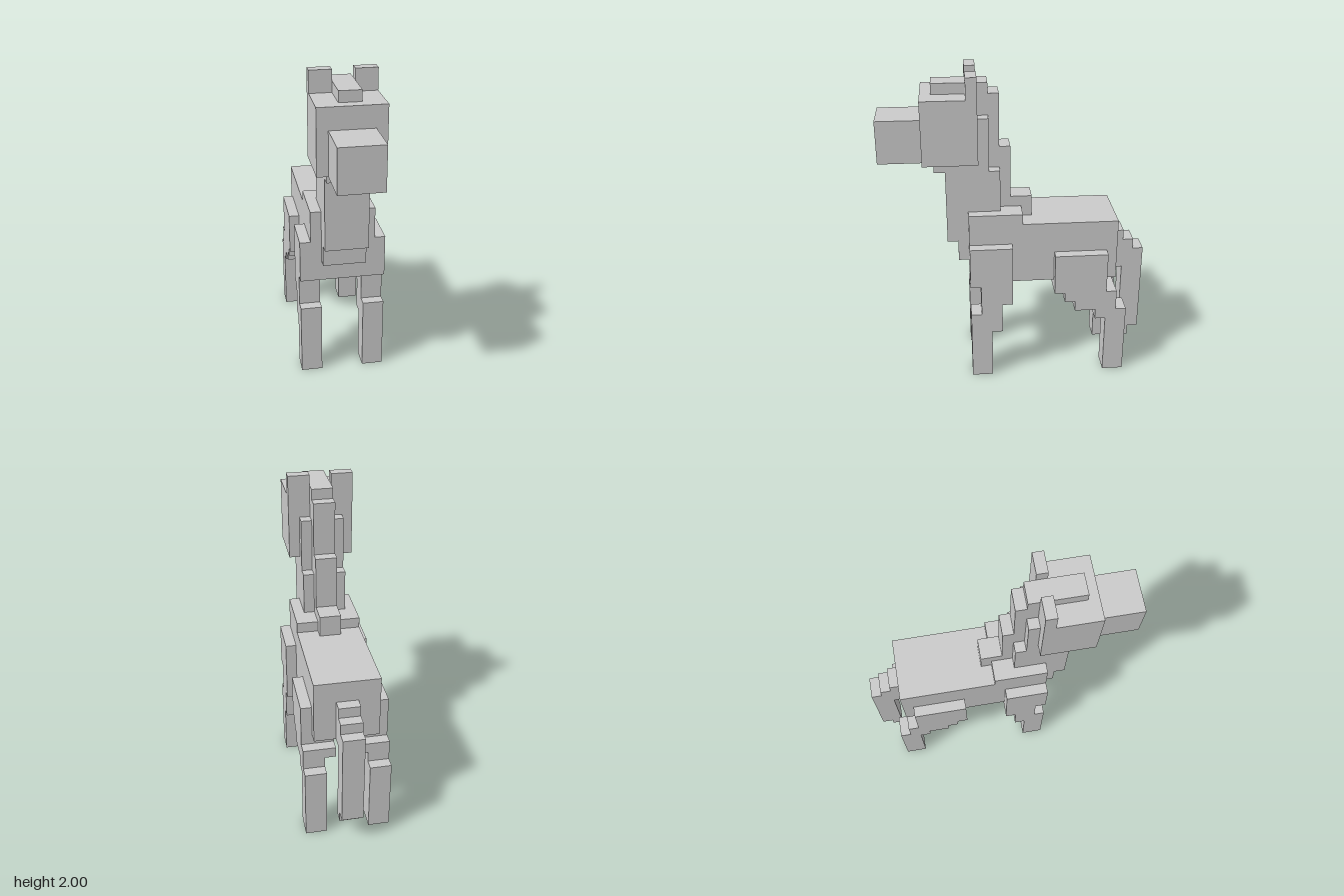
import * as THREE from 'three';

const U = 1 / 15; // one voxel

export function createModel() {
  const model = new THREE.Group();
  const grey = new THREE.MeshStandardMaterial({ color: 0xcccccc, flatShading: true });

  // Box between voxel bounds [x0, x1], [y0, y1], [z0, z1]
  function box(parent, name, [x0, x1], [y0, y1], [z0, z1]) {
    const geometry = new THREE.BoxGeometry((x1 - x0) * U, (y1 - y0) * U, (z1 - z0) * U);
    const mesh = new THREE.Mesh(geometry, grey);
    mesh.name = name;
    mesh.position.set((x0 + x1) / 2 * U, (y0 + y1) / 2 * U, (z0 + z1) / 2 * U);
    parent.add(mesh);
  }

  // Group of boxes sharing one x range; each row is [y0, y1, z0, z1]
  function stack(name, x, rows) {
    const group = new THREE.Group();
    group.name = name;
    rows.forEach(([y0, y1, z0, z1], i) => box(group, `${name}Block${i + 1}`, x, [y0, y1], [z0, z1]));
    model.add(group);
  }

  // Trunk and head
  box(model, 'body', [-3, 3], [10, 16], [-9.5, 4.5]);
  box(model, 'shoulders', [-3, 3], [16, 17], [-0.5, 4.5]);
  box(model, 'head', [-3, 3], [22, 28], [3.5, 8.5]);
  box(model, 'snout', [-2, 2], [22, 26], [8.5, 12.5]);

  // Neck and chest, leaning forward in steps
  stack('neck', [-2, 2], [
    [12, 14, 4.5, 5.5],
    [14, 21, 1.5, 6.5],
    [21, 22, 2.5, 7.5],
    [22, 26, 2.5, 3.5],
  ]);

  // Forelock and mane down the back of the neck
  stack('mane', [-1, 1], [
    [28, 29, 2.5, 7.5],
    [23, 28, 1.5, 3.5],
    [18, 23, 0.5, 2.5],
    [16, 18, -1.5, 1.5],
  ]);

  // Tail
  stack('tail', [-1, 1], [
    [10, 14, -10.5, -9.5],
    [2, 13, -11.5, -10.5],
    [3, 12, -12.5, -11.5],
  ]);

  // Ears and legs, mirrored
  for (const [side, s] of [['left', 1], ['right', -1]]) {
    const span = (a, b) => (s > 0 ? [a, b] : [-b, -a]);
    box(model, `${side}Ear`, span(1, 3), [28, 30], [3.5, 4.5]);
    stack(`${side}FrontLeg`, span(2, 4), [
      [10, 14, 0.5, 4.5],
      [8, 10, 0.5, 3.5],
      [7, 8, 1.5, 3.5],
      [5, 7, 1.5, 2.5],
      [0, 7, 2.5, 4.5],
    ]);
    stack(`${side}HindLeg`, span(2, 4), [
      [9, 13, -8.5, -3.5],
      [8, 9, -9.5, -4.5],
      [7, 8, -9.5, -5.5],
      [6, 7, -10.5, -7.5],
      [0, 6, -10.5, -8.5],
    ]);
    stack(`${side}InnerThigh`, span(1, 2), [
      [9, 10, -8.5, -3.5],
      [8, 9, -9.5, -4.5],
    ]);
  }
  return model;
}
